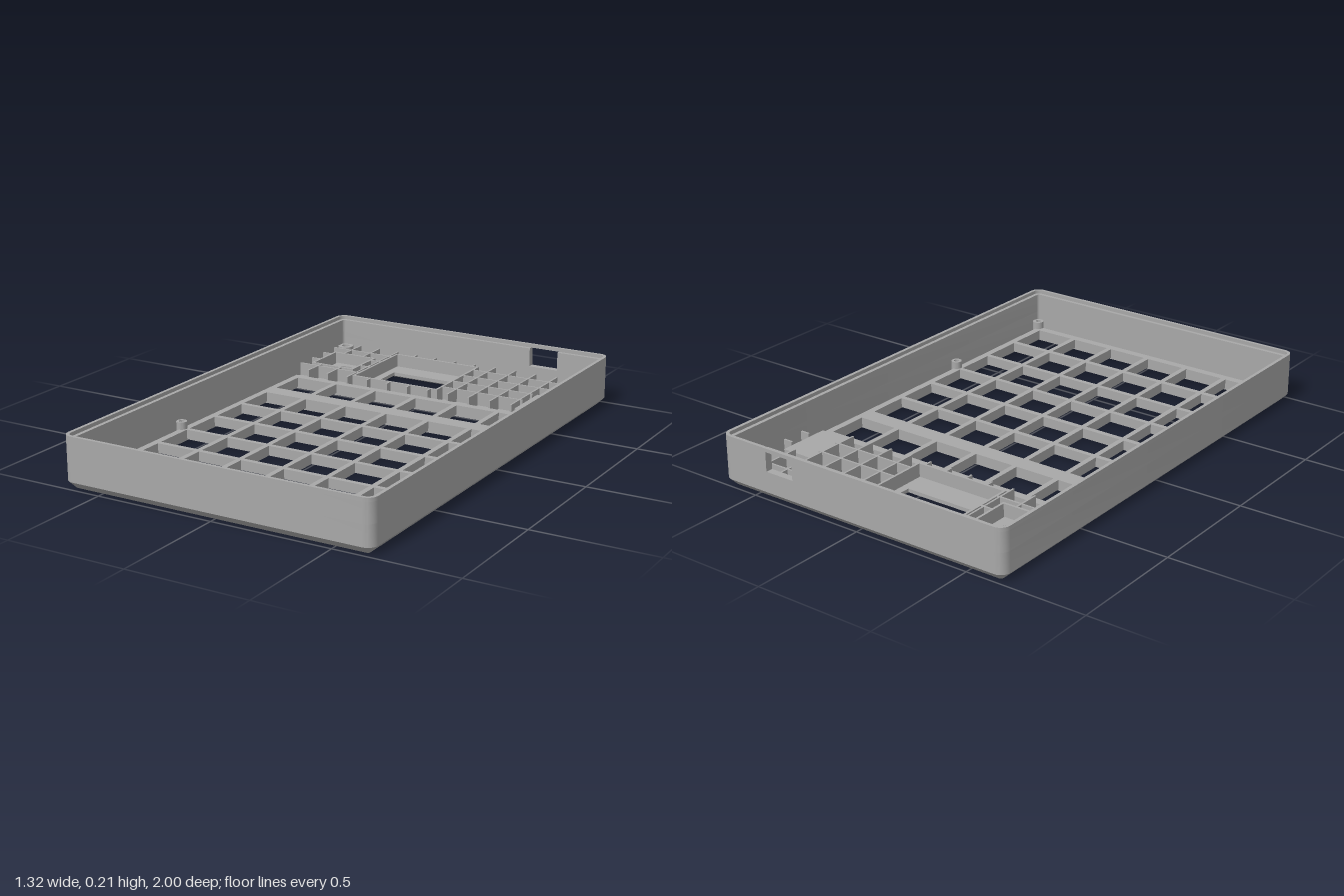
import * as THREE from 'three';
import { toCreasedNormals } from 'three/addons/utils/BufferGeometryUtils.js';

const V = (x, z) => new THREE.Vector2(x, z);

// Rounded case outline in (x, z), starting on the back edge at +x and going round to -x
function outline(inset) {
  const r = Math.max(0.04 - inset, 0.01), w = 0.66 - inset - r, d = 1 - inset - r;
  const pts = [];
  [[1, -1], [1, 1], [-1, 1], [-1, -1]].forEach(([sx, sz], k) => {
    for (let i = 0; i <= 6; i++) {
      const a = (k - 1 + i / 6) * Math.PI / 2;
      pts.push(V(sx * w + r * Math.cos(a), sz * d + r * Math.sin(a)));
    }
  });
  return pts;
}

const rect = (x0, x1, z0, z1) => [V(x0, z0), V(x1, z0), V(x1, z1), V(x0, z1)];
const circle = (x, z, r, n = 24) => Array.from({ length: n }, (_, i) =>
  V(x + r * Math.cos(i / n * 2 * Math.PI), z + r * Math.sin(i / n * 2 * Math.PI)));

// Horizontal slab with holes between two heights
function slab(pts, holes, y0, y1) {
  const shape = new THREE.Shape(pts);
  shape.holes = holes.map(h => new THREE.Path(h));
  const g = new THREE.ExtrudeGeometry(shape, { depth: y1 - y0, bevelEnabled: false });
  g.rotateX(Math.PI / 2).translate(0, y1, 0);
  return toCreasedNormals(g, 0.5);
}

// Sloped strip between two matching loops
function strip(low, y0, high, y1) {
  const pos = [], n = low.length;
  for (let i = 0; i < n; i++) {
    const j = (i + 1) % n;
    const a = [low[i].x, y0, low[i].y], b = [high[i].x, y1, high[i].y];
    const c = [low[j].x, y0, low[j].y], d = [high[j].x, y1, high[j].y];
    pos.push(...a, ...b, ...c, ...b, ...d, ...c);
  }
  const g = new THREE.BufferGeometry();
  g.setAttribute('position', new THREE.Float32BufferAttribute(pos, 3));
  g.computeVertexNormals();
  return toCreasedNormals(g, 0.5);
}

export function createModel() {
  const group = new THREE.Group();
  const grey = new THREE.MeshStandardMaterial({ color: 0xa8a8a8 });
  grey.name = 'case grey';
  const add = (name, geo) => {
    const m = new THREE.Mesh(geo, grey);
    m.name = name;
    group.add(m);
  };

  // Openings
  const keyHoles = [];
  for (const z of [-0.4, -0.153, 0.04, 0.235, 0.427, 0.62, 0.815])
    for (let i = 0; i < 6; i++) {
      const x = (i - 2.5) * 0.194;
      keyHoles.push(rect(x - 0.086, x + 0.086, z - 0.086, z + 0.086));
    }
  const screen = rect(-0.29, 0.037, -0.84, -0.665);
  const screenWide = rect(-0.325, 0.072, -0.875, -0.63);
  const knob = circle(-0.487, -0.73, 0.042);

  // Floor: recessed underside below, pierced sheet above, thicker key plate on top
  const floor = outline(0.03);
  const recesses = [rect(-0.59, 0.59, -0.505, -0.295), rect(-0.59, 0.59, -0.258, 0.92)];
  add('floorUnderside', slab(floor, [...recesses, screenWide, knob], 0, 0.015));
  add('floorSheet', slab(floor, [...keyHoles, screen, knob], 0.015, 0.03));
  add('keyPlate', slab(rect(-0.6, 0.6, -0.52, 0.935), keyHoles, 0.03, 0.055));
  add('screenBevel', strip([...screenWide].reverse(), 0, [...screen].reverse(), 0.015));

  // Chamfered foot and outer walls, with a port notch in the back
  const out = outline(0), inn = outline(0.03);
  add('bottomChamfer', strip(floor, 0, out, 0.03));
  add('lowerWall', slab(out, [inn], 0.03, 0.115));
  const notched = [V(0.435, -1), ...out, V(0.305, -1), V(0.305, -0.97),
    ...[...inn].reverse(), V(0.435, -0.97)];
  add('portWall', slab(notched, [], 0.115, 0.195));
  add('rimLip', slab(out, [outline(0.014)], 0.195, 0.21));

  // Frames around screen and knob, and a raised pad
  const zones = [[-0.335, 0.078, -0.94, -0.55], [-0.59, -0.38, -0.83, -0.63], [0.45, 0.59, -0.745, -0.525]];
  const t = 0.01;
  for (const [i, name] of ['screenFrame', 'knobFrame'].entries()) {
    const [x0, x1, z0, z1] = zones[i];
    add(name, slab(rect(x0, x1, z0, z1), [rect(x0 + t, x1 - t, z0 + t, z1 - t)], 0.03, 0.085));
  }
  add('knobSeat', slab(rect(-0.56, -0.41, -0.80, -0.66), [knob], 0.03, 0.045));
  add('sidePad', slab(rect(...zones[2]), [], 0.03, 0.07));

  // Stiffening ribs, interrupted where they meet the framed zones
  const rib = (at, from, to, alongX) => {
    const cuts = zones.map(q => alongX ? q : [q[2], q[3], q[0], q[1]])
      .filter(q => at > q[2] && at < q[3]).sort((a, b) => a[0] - b[0]);
    let s = from;
    for (const [a, b] of [...cuts, [to, to]]) {
      if (a - s > 0.01) add('rib', alongX
        ? slab(rect(s, a, at - 0.004, at + 0.004), [], 0.03, 0.085)
        : slab(rect(at - 0.004, at + 0.004, s, a), [], 0.03, 0.085));
      s = b;
    }
  };
  for (let k = 0; k < 12; k++) rib(-0.54 + k * 0.0975, -0.97, -0.52, false);
  for (let k = 0; k < 4; k++) rib(-0.89 + k * 0.0955, -0.63, 0.63, true);

  // Screw bosses
  for (const sx of [-1, 1])
    for (const [z, r] of [[-0.94, 0.034], [0.335, 0.022], [0.93, 0.024]])
      add('screwBoss', slab(circle(sx * 0.6, z, r), [circle(sx * 0.6, z, r * 0.5)], 0.03, 0.085));

  return group;
}
